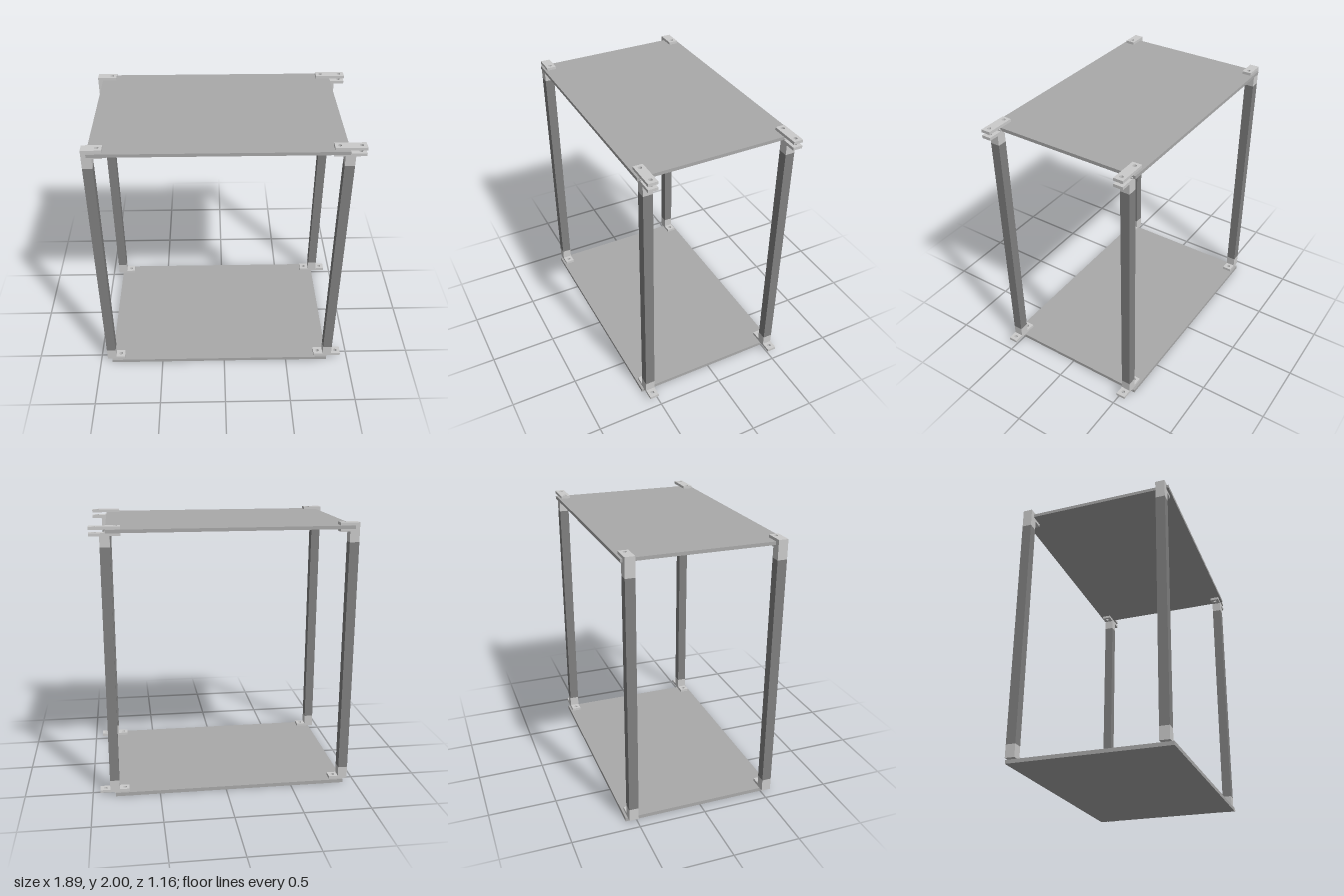
import * as THREE from 'three';

const bracketMat = new THREE.MeshStandardMaterial({ color: 0xcccccc });
const panelMat = new THREE.MeshStandardMaterial({ color: 0xaaaaaa });
const legMat = new THREE.MeshStandardMaterial({ color: 0x808080 });

const W = 0.07;          // bracket and leg width
const PLATE = 0.021;     // flange thickness
const LEG_Z = 0.528;     // leg centre line

// Box given by its extents in x and y, and a centre and depth in z
function box(name, x0, x1, y0, y1, z, depth, mat) {
  const mesh = new THREE.Mesh(new THREE.BoxGeometry(x1 - x0, y1 - y0, depth), mat);
  mesh.position.set((x0 + x1) / 2, (y0 + y1) / 2, z);
  mesh.name = name;
  return mesh;
}

// Horizontal flange with drilled screw holes
function flange(name, x0, x1, y, z, holes) {
  const h = W / 2;
  const shape = new THREE.Shape();
  shape.moveTo(x0, -h).lineTo(x1, -h).lineTo(x1, h).lineTo(x0, h).closePath();
  for (const x of holes) {
    shape.holes.push(new THREE.Path().absarc(x, 0, 0.014, 0, Math.PI * 2, true));
  }
  const geo = new THREE.ExtrudeGeometry(shape, { depth: PLATE, bevelEnabled: false, curveSegments: 16 });
  geo.rotateX(-Math.PI / 2);
  const mesh = new THREE.Mesh(geo, bracketMat);
  mesh.position.set(0, y, z);
  mesh.name = name;
  return mesh;
}

export function createModel() {
  const model = new THREE.Group();
  model.name = 'shelfFrame';

  // Panels
  model.add(box('bottomPanel', -0.908, 0.83, 0, 0.027, 0, 1.16, panelMat));
  model.add(box('topPanel', -0.908, 0.83, 1.956, 1.98, 0, 1.16, panelMat));

  for (const z of [LEG_Z, -LEG_Z]) {
    const end = z > 0 ? 'Front' : 'Back';

    // Closed corner: C-shaped bracket at the top, angle bracket at the bottom
    const closed = new THREE.Group();
    closed.name = 'closedCorner' + end;
    const a = -0.945, b = a + W;
    closed.add(
      box('leg', a, b, 0.12, 1.86, z, W, legMat),
      box('bottomSocket', a, b, 0.027, 0.12, z, W, bracketMat),
      flange('bottomFlange', b, -0.805, 0.027, z, [-0.84]),
      box('topSocket', a, b, 1.86, 1.956, z, W, bracketMat),
      flange('topLowerFlange', b, -0.805, 1.935, z, [-0.84]),
      box('topWall', a, -0.908, 1.956, 2, z, W, bracketMat),
      flange('topUpperFlange', -0.908, -0.805, 1.979, z, [-0.84])
    );
    model.add(closed);

    // Open corner: flanges reach past the panel to join a neighbouring unit
    const open = new THREE.Group();
    open.name = 'openCorner' + end;
    const c = 0.8, d = c + W, holes = [0.76, 0.905];
    open.add(
      box('leg', c, d, 0.12, 1.86, z, W, legMat),
      box('bottomSocket', c, d, 0.048, 0.12, z, W, bracketMat),
      flange('bottomFlange', 0.727, 0.943, 0.027, z, holes),
      box('bottomLip', 0.83, 0.838, 0.018, 0.027, z, W, bracketMat),
      box('topSocket', c, d, 1.86, 1.935, z, W, bracketMat),
      flange('topLowerFlange', 0.727, 0.943, 1.935, z, holes),
      box('topLip', 0.83, 0.838, 1.956, 1.966, z, W, bracketMat),
      flange('topUpperFlange', 0.727, 0.943, 1.979, z, holes)
    );
    model.add(open);
  }
  return model;
}
